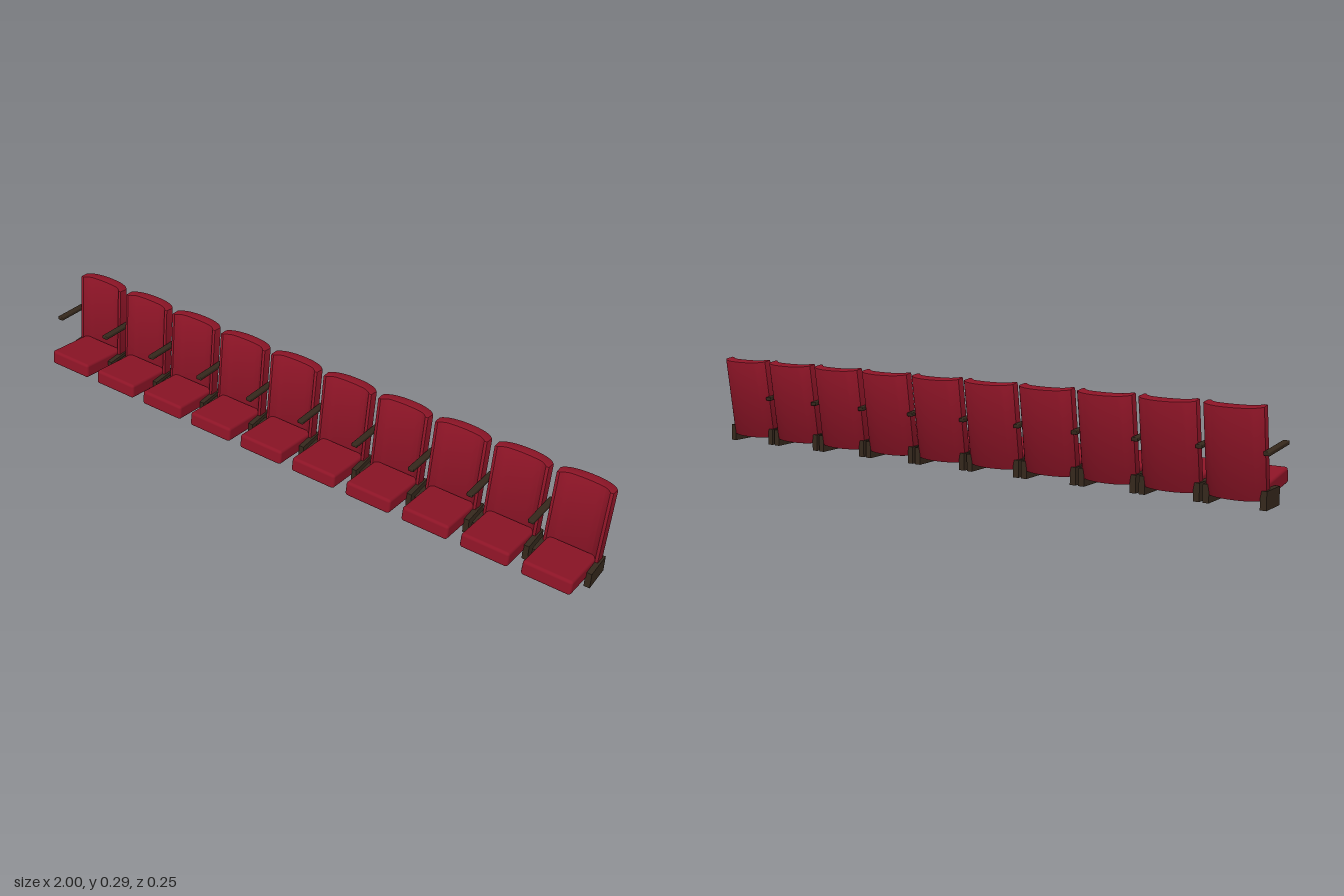
import * as THREE from 'three';
import { toCreasedNormals } from 'three/addons/utils/BufferGeometryUtils.js';
import { RoundedBoxGeometry } from 'three/addons/geometries/RoundedBoxGeometry.js';

const SEATS = 10, PITCH = 0.1993;
const red = new THREE.MeshStandardMaterial({ color: 0x8c1426 });
const dark = new THREE.MeshStandardMaterial({ color: 0x35281c });

// Wrap-around backrest: curved plan section extruded upwards, then reclined
function backrestGeometry() {
  const s = new THREE.Shape();
  s.moveTo(-0.089, -0.03);
  s.bezierCurveTo(-0.075, -0.008, -0.04, 0, 0, 0);
  s.bezierCurveTo(0.04, 0, 0.075, -0.008, 0.089, -0.03);
  s.lineTo(0.087, -0.058);
  s.lineTo(0.078, -0.059);
  s.quadraticCurveTo(0.066, -0.044, 0.05, -0.041);
  s.quadraticCurveTo(0, -0.034, -0.05, -0.041);
  s.quadraticCurveTo(-0.066, -0.044, -0.078, -0.059);
  s.lineTo(-0.087, -0.058);
  s.closePath();
  const bevel = 0.003;
  const g = new THREE.ExtrudeGeometry(s, {
    depth: 0.2645 - 2 * bevel, curveSegments: 8, bevelEnabled: true,
    bevelThickness: bevel, bevelSize: bevel, bevelOffset: -bevel, bevelSegments: 2
  });
  g.translate(0, 0, bevel);
  g.rotateX(-Math.PI / 2);
  g.rotateX(-0.141);
  return toCreasedNormals(g, 0.6);
}

export function createModel() {
  const model = new THREE.Group();
  model.name = 'seatRow';

  const backGeo = backrestGeometry();
  const cushionGeo = new RoundedBoxGeometry(0.157, 0.048, 0.172, 3, 0.009);
  const bracketGeo = new THREE.BoxGeometry(0.019, 0.054, 0.091);
  const armGeo = new RoundedBoxGeometry(0.02, 0.012, 0.139, 2, 0.003);

  const add = (parent, name, geo, mat, x, y, z, tilt = 0) => {
    const m = new THREE.Mesh(geo, mat);
    m.name = name;
    m.position.set(x, y, z);
    m.rotation.x = tilt;
    parent.add(m);
  };

  for (let i = 0; i < SEATS; i++) {
    const seat = new THREE.Group();
    seat.name = 'seat' + (i + 1);
    const x = 0.006 + (i - (SEATS - 1) / 2) * PITCH;
    // The row runs very slightly askew
    seat.position.set(x, 0, 0.004 * x);

    add(seat, 'backrest', backGeo, red, 0, 0.022, -0.086);
    add(seat, 'cushion', cushionGeo, red, 0, 0.055, 0.037, -0.165);

    // Floor brackets on both sides
    for (const side of [-1, 1])
      add(seat, side < 0 ? 'rightBracket' : 'leftBracket', bracketGeo, dark, side * 0.085, 0.028, -0.0255);

    // One armrest per seat, on its right side
    add(seat, 'armrest', armGeo, dark, -0.099, 0.168, -0.024, -0.09);
    model.add(seat);
  }
  return model;
}
